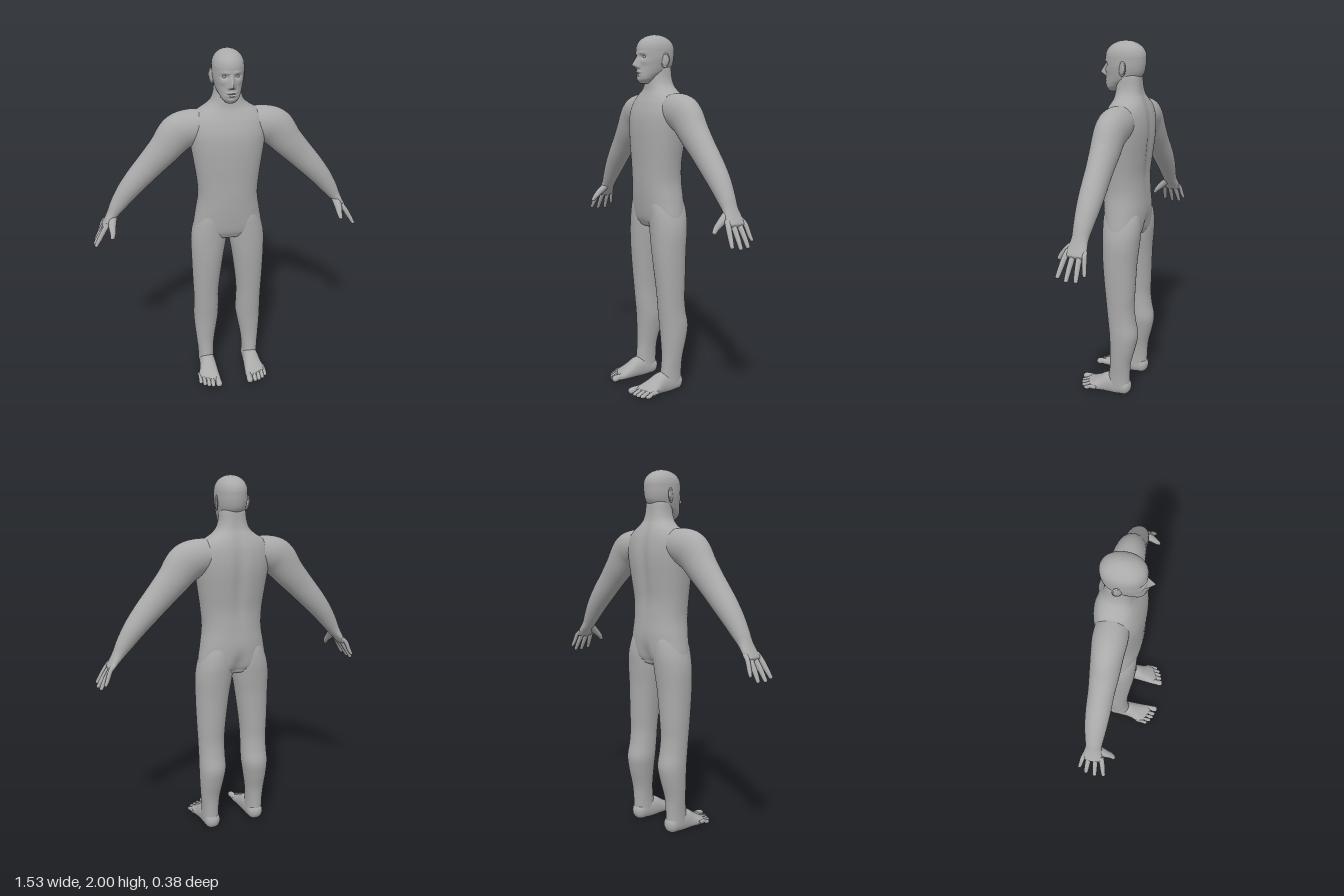
import * as THREE from 'three';

const V3 = (x, y, z) => new THREE.Vector3(x, y, z);
const gauss = (d, s) => Math.exp(-(d * d) / (s * s));

// Catmull-Rom interpolation of every column in a table of sections
function smooth(rows, steps) {
  const out = [];
  for (let i = 0; i < rows.length - 1; i++) {
    const [a, b, c, d] = [-1, 0, 1, 2].map(k => rows[Math.min(Math.max(i + k, 0), rows.length - 1)]);
    for (let s = 0; s < steps; s++) {
      const t = s / steps;
      out.push(b.map((_, j) => 0.5 * (2 * b[j] + (c[j] - a[j]) * t
        + (2 * a[j] - 5 * b[j] + 4 * c[j] - d[j]) * t * t
        + (3 * b[j] - a[j] - 3 * c[j] + d[j]) * t * t * t)));
    }
  }
  out.push(rows[rows.length - 1]);
  return out;
}

// Skin over rings {c, u, v, t}, with a rounded dome at each end
function loft(rings, { n = 32, e = 1, dome = [0, 0], warp } = {}) {
  const K = 8, all = [];
  const cap = (r, h, k) => {
    const a = k / K * Math.PI / 2, s = Math.max(Math.cos(a), 0.001);
    return { c: r.c.clone().addScaledVector(r.t, h * Math.sin(a)),
      u: r.u.clone().multiplyScalar(s), v: r.v.clone().multiplyScalar(s) };
  };
  for (let k = K; k > 0; k--) all.push(cap(rings[0], -dome[0], k));
  all.push(...rings);
  for (let k = 1; k <= K; k++) all.push(cap(rings[rings.length - 1], dome[1], k));
  const pos = [], idx = [], pw = x => Math.sign(x) * Math.pow(Math.abs(x), e);
  all.forEach((r, i) => {
    for (let j = 0; j < n; j++) {
      const a = j / n * Math.PI * 2;
      const p = r.c.clone().addScaledVector(r.u, pw(Math.cos(a))).addScaledVector(r.v, pw(Math.sin(a)));
      if (warp) warp(p);
      pos.push(p.x, p.y, p.z);
      if (i < all.length - 1) {
        const A = i * n + j, B = i * n + (j + 1) % n;
        idx.push(A, B, B + n, A, B + n, A + n);
      }
    }
  });
  const g = new THREE.BufferGeometry();
  g.setAttribute('position', new THREE.Float32BufferAttribute(pos, 3));
  g.setIndex(idx);
  g.computeVertexNormals();
  return g;
}

// Horizontal sections: [y, xMin, xMax, zBack, zFront], from the bottom up
const levels = (rows, opt, steps = 6) => loft(smooth(rows, steps).map(([y, x0, x1, z0, z1]) => ({
  c: V3((x0 + x1) / 2, y, (z0 + z1) / 2), u: V3((x1 - x0) / 2, 0, 0), v: V3(0, 0, (z0 - z1) / 2), t: V3(0, 1, 0)
})), opt);

// Sections across a path: [x, y, z, thickness, width], width lying along ref
function limb(rows, ref, opt, steps = 6) {
  const s = smooth(rows, steps), at = i => V3(...s[Math.min(Math.max(i, 0), s.length - 1)].slice(0, 3));
  return loft(s.map((r, i) => {
    const t = at(i + 1).sub(at(i - 1)).normalize();
    const v = ref.clone().addScaledVector(t, -ref.dot(t)).normalize();
    const u = v.clone().cross(t);
    return { c: at(i), u: u.multiplyScalar(r[3]), v: v.multiplyScalar(r[4]), t };
  }), opt);
}

function mirror(geo) {
  const g = geo.clone().scale(-1, 1, 1), ix = g.index;
  for (let i = 0; i < ix.count; i += 3) {
    const b = ix.getX(i + 1);
    ix.setX(i + 1, ix.getX(i + 2));
    ix.setX(i + 2, b);
  }
  return g;
}

// Facial relief: sockets, brows, nose, lips, cheeks and chin
function sculptFace(p) {
  if (p.z < 0) return;
  const x = Math.abs(p.x), y = p.y;
  const bump = (x0, y0, sx, sy, a) => a * gauss(x - x0, sx) * gauss(y - y0, sy);
  const t = THREE.MathUtils.clamp((1.89 - y) / 0.053, 0, 1);
  const under = THREE.MathUtils.smoothstep(y, 1.812, 1.834);
  p.z += 0.038 * t * under * gauss(x, 0.007 + 0.006 * t)
    + bump(0.033, 1.878, 0.016, 0.010, -0.013) + bump(0.028, 1.898, 0.022, 0.007, 0.005)
    + bump(0.014, 1.824, 0.006, 0.007, 0.010) + bump(0.046, 1.848, 0.018, 0.014, 0.004)
    + bump(0, 1.797, 0.020, 0.005, 0.008) + bump(0, 1.781, 0.018, 0.005, 0.008)
    + bump(0, 1.789, 0.022, 0.003, -0.005) + bump(0, 1.755, 0.018, 0.011, 0.005);
}

// Spine furrow and cleft on the back of the trunk
function sculptBack(p) {
  if (p.z > -0.08) return;
  p.z += gauss(p.x, 0.03) * (0.014 * gauss(p.y - 1.5, 0.22) + 0.022 * gauss(p.y - 0.99, 0.06));
}

export function createModel() {
  const model = new THREE.Group();
  model.name = 'humanFigure';
  const skin = new THREE.MeshStandardMaterial({ color: 0xaaaaaa });
  skin.name = 'grey skin';
  const add = (name, geo) => {
    const m = new THREE.Mesh(geo, skin);
    m.name = name;
    model.add(m);
  };
  const pair = (name, geo) => {
    add('left' + name, geo);
    add('right' + name, mirror(geo));
  };
  const even = rows => rows.map(([y, x, z0, z1]) => [y, -x, x, z0, z1]);

  // Trunk and neck
  add('torso', levels(even([
    [0.96, 0.185, -0.15, 0.028], [1.0, 0.198, -0.17, 0.045], [1.1, 0.182, -0.178, 0.058],
    [1.2, 0.168, -0.172, 0.065], [1.3, 0.174, -0.168, 0.068], [1.4, 0.188, -0.178, 0.072],
    [1.5, 0.203, -0.188, 0.072], [1.57, 0.21, -0.188, 0.064], [1.63, 0.2, -0.18, 0.045],
    [1.67, 0.17, -0.168, 0.026], [1.70, 0.122, -0.156, 0.013], [1.73, 0.09, -0.143, 0.008],
    [1.77, 0.075, -0.135, 0.004], [1.82, 0.068, -0.13, 0], [1.86, 0.055, -0.12, 0]
  ]), { n: 72, e: 0.88, dome: [0.03, 0], warp: sculptBack }));

  // Head and face
  add('head', levels(even([
    [1.745, 0.03, 0, 0.055], [1.76, 0.045, -0.02, 0.065], [1.78, 0.056, -0.06, 0.069],
    [1.80, 0.066, -0.11, 0.069], [1.83, 0.075, -0.138, 0.067], [1.87, 0.082, -0.149, 0.068],
    [1.92, 0.083, -0.152, 0.068]
  ]), { n: 144, e: 0.95, dome: [0.01, 0.08], warp: sculptFace }, 11));
  pair('Eye', new THREE.SphereGeometry(0.012, 20, 14).translate(0.033, 1.878, 0.041));
  const place = g => g.rotateX(-0.12).rotateY(-0.4).translate(0.084, 1.86, -0.055);
  pair('Ear', place(new THREE.SphereGeometry(1, 20, 16).scale(0.007, 0.036, 0.022)));
  pair('EarRim', place(new THREE.TorusGeometry(1, 0.16, 10, 32).rotateY(Math.PI / 2).scale(0.03, 0.034, 0.021)));

  // Arm running into the palm
  const Z = V3(0, 0, 1), X = V3(1, 0, 0);
  pair('Arm', limb([
    [0.10, 1.60, -0.07, 0.08, 0.08], [0.20, 1.587, -0.07, 0.097, 0.087], [0.27, 1.555, -0.07, 0.103, 0.081],
    [0.34, 1.475, -0.072, 0.088, 0.075], [0.415, 1.395, -0.075, 0.077, 0.067], [0.49, 1.315, -0.078, 0.068, 0.064],
    [0.555, 1.24, -0.08, 0.058, 0.058], [0.61, 1.165, -0.08, 0.045, 0.048], [0.64, 1.12, -0.08, 0.034, 0.043],
    [0.665, 1.085, -0.08, 0.025, 0.049], [0.69, 1.05, -0.08, 0.019, 0.056]
  ], Z, { n: 40, dome: [0.05, 0.015] }));

  // Fingers: root z, tip x, y, z
  [[-0.036, 0.748, 0.956, -0.012], [-0.066, 0.754, 0.946, -0.06],
    [-0.096, 0.748, 0.948, -0.108], [-0.122, 0.731, 0.977, -0.145]].forEach(([z, tx, ty, tz], i) => {
    const r = i === 3 ? 0.011 : 0.013, mid = f => z + (tz - z) * f;
    pair('Finger' + (i + 1), limb([
      [0.675, 1.07, z, r, r * 1.1], [0.70, (1.045 + ty) / 2 + 0.035, mid(0.4), r * 1.1, r * 1.1],
      [(0.705 + tx) / 2 + 0.002, (1.045 + ty) / 2 - 0.012, mid(0.75), r, r], [tx, ty, tz, r * 0.75, r * 0.85]
    ], Z, { n: 16, dome: [0, 0.01] }, 5));
  });
  pair('Thumb', limb([
    [0.645, 1.10, -0.06, 0.02, 0.024], [0.652, 1.063, -0.02, 0.02, 0.021],
    [0.652, 1.034, 0.01, 0.015, 0.016], [0.656, 1.014, 0.025, 0.011, 0.012]
  ], X, { n: 18, dome: [0, 0.01] }));

  // Leg from ankle to hip
  pair('Leg', levels([
    [0.05, 0.092, 0.187, -0.13, 0.005], [0.12, 0.092, 0.188, -0.13, -0.005], [0.2, 0.085, 0.195, -0.136, -0.012],
    [0.3, 0.068, 0.203, -0.16, -0.01], [0.38, 0.056, 0.206, -0.172, -0.005], [0.46, 0.056, 0.204, -0.157, 0.003],
    [0.54, 0.056, 0.205, -0.148, 0.01], [0.62, 0.05, 0.208, -0.15, 0.018], [0.72, 0.038, 0.211, -0.153, 0.028],
    [0.82, 0.024, 0.213, -0.157, 0.036], [0.92, 0.008, 0.213, -0.166, 0.04], [1.0, 0.006, 0.2, -0.172, 0.042],
    [1.08, 0.02, 0.172, -0.165, 0.04], [1.14, 0.05, 0.14, -0.14, 0.02]
  ], { n: 48, e: 0.94 }));

  // Foot with a flat sole, its front edge slanting back to the small toe
  const sole = p => {
    p.y = Math.max(p.y, 0);
    p.z -= Math.max(0, p.z) * (p.x - 0.12) * 3;
  };
  pair('Foot', limb([
    [0.138, 0.04, -0.10, 0.048, 0.045], [0.138, 0.045, -0.05, 0.062, 0.047], [0.138, 0.045, 0, 0.062, 0.05],
    [0.14, 0.034, 0.05, 0.045, 0.056], [0.144, 0.024, 0.10, 0.03, 0.064], [0.146, 0.02, 0.13, 0.02, 0.066]
  ], X, { n: 40, e: 0.9, dome: [0.038, 0.015], warp: sole }));

  // Toes: x, tip z, radius
  [[0.097, 0.19, 0.02], [0.131, 0.181, 0.0135], [0.156, 0.173, 0.013],
    [0.18, 0.16, 0.0125], [0.202, 0.138, 0.012]].forEach(([x, z, r], i) => {
    pair('Toe' + (i + 1), limb([
      [x, 0.024, z - 0.08, r * 0.9, r * 0.9], [x, 0.026, z - 0.045, r * 0.85, r * 0.85],
      [x, r + 0.002, z - 0.024, r * 0.95, r], [x, r, z - 0.012, r * 0.85, r * 0.92]
    ], X, { n: 18, dome: [0, 0.012] }, 5));
  });
  return model;
}
